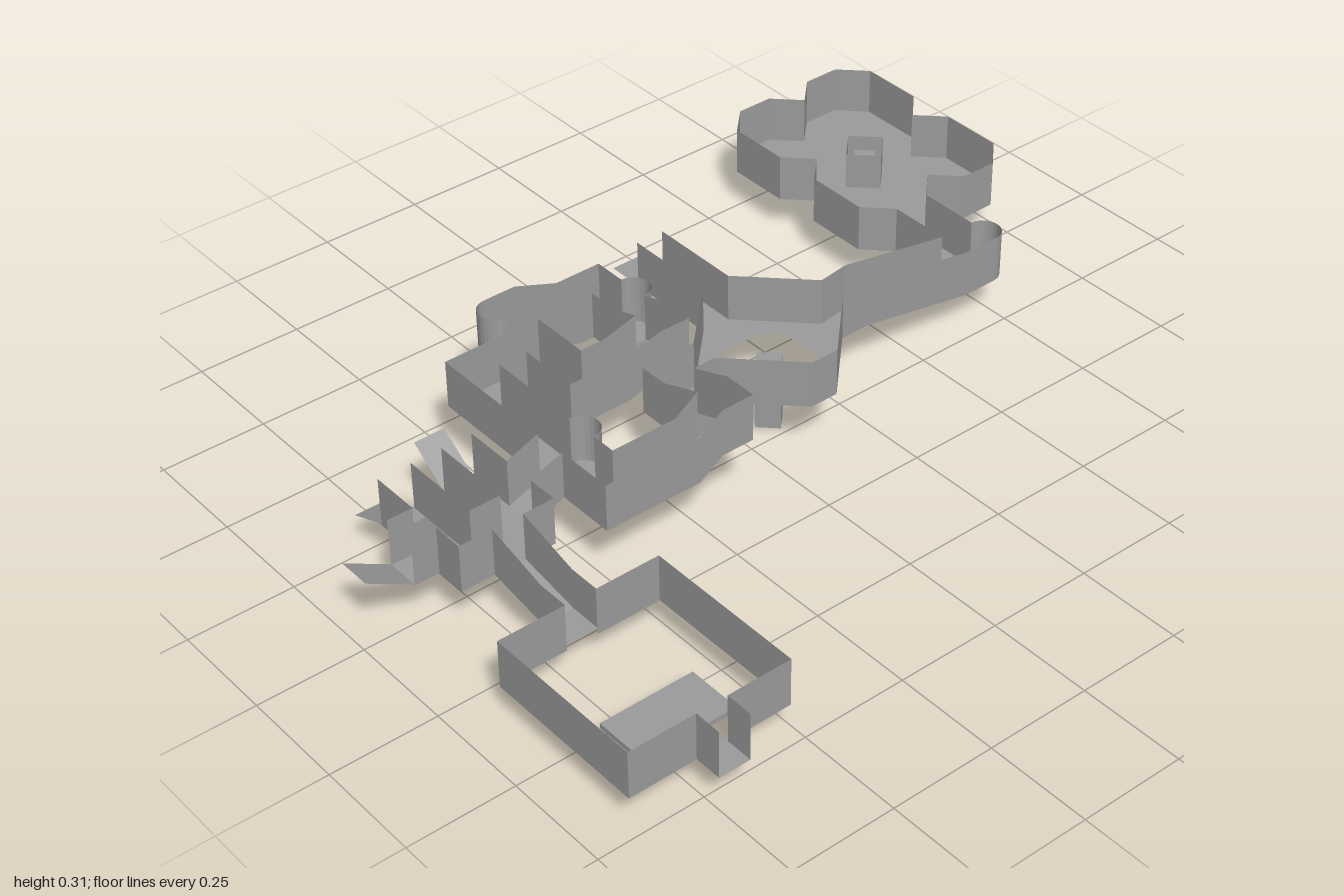
import * as THREE from 'three';

const H = 0.115; // usual wall height
const mat = new THREE.MeshStandardMaterial({ color: 0x9c9c9c, side: THREE.DoubleSide, flatShading: true });

export function createModel() {
  const model = new THREE.Group();
  const add = (name, geo) => {
    const mesh = new THREE.Mesh(geo, mat);
    mesh.name = name;
    model.add(mesh);
    return mesh;
  };

  // Upright strip along [x, z, floorY, height]; missing values repeat the previous ones
  const wall = (name, pts) => {
    const pos = [], idx = [];
    let y = 0, h = H;
    pts.forEach((p, i) => {
      y = p[2] ?? y;
      h = p[3] ?? h;
      pos.push(p[0], y, p[1], p[0], y + h, p[1]);
      if (i) {
        const b = 2 * i - 2;
        idx.push(b, b + 2, b + 1, b + 1, b + 2, b + 3);
      }
    });
    const g = new THREE.BufferGeometry();
    g.setAttribute('position', new THREE.Float32BufferAttribute(pos, 3));
    g.setIndex(idx);
    const flat = g.toNonIndexed();
    flat.computeVertexNormals();
    add(name, flat);
  };

  // Rectangular floor; it slopes from ya to yb along the chosen axis
  const floor = (name, x0, x1, z0, z1, ya, yb = ya, axis = 'x') => {
    const g = new THREE.PlaneGeometry(x1 - x0, z1 - z0).rotateX(-Math.PI / 2);
    g.translate((x0 + x1) / 2, 0, (z0 + z1) / 2);
    const p = g.attributes.position;
    for (let i = 0; i < p.count; i++) {
      const t = axis === 'x' ? (p.getX(i) - x0) / (x1 - x0) : (p.getZ(i) - z0) / (z1 - z0);
      p.setY(i, ya + (yb - ya) * t);
    }
    g.computeVertexNormals();
    add(name, g);
  };

  // Flat floor from an outline with an optional hole
  const polyFloor = (name, pts, y, hole) => {
    const v = (a) => a.map((p) => new THREE.Vector2(p[0], -p[1]));
    const s = new THREE.Shape(v(pts));
    if (hole) s.holes.push(new THREE.Path(v(hole)));
    add(name, new THREE.ShapeGeometry(s).rotateX(-Math.PI / 2).translate(0, y, 0));
  };

  // Half circle of radius 0.04 from angle a to b
  const arc = (cx, cz, a, b) => Array.from({ length: 13 }, (_, i) => {
    const t = a + ((b - a) * i) / 12;
    return [cx + 0.04 * Math.cos(t), cz + 0.04 * Math.sin(t)];
  });
  const diamond = (x, z, r) => [[x + r, z], [x, z + r], [x - r, z], [x, z - r]];
  const octagon = (x, z, r, f) => [[f, -r], [r, -f], [r, f], [f, r], [-f, r], [-r, f], [-r, -f], [-f, -r]]
    .map(([a, b]) => [x + a, z + b]);
  const PI = Math.PI;

  // Clover room
  const cx = -0.525, cz = -0.79;
  const clover = [
    [0.275, 0.15], [0.215, 0.21], [0.06, 0.21], [0, 0.15], [-0.06, 0.21], [-0.215, 0.21],
    [-0.275, 0.15], [-0.275, 0.06], [-0.215, 0], [-0.275, -0.06], [-0.275, -0.15], [-0.215, -0.21],
    [-0.06, -0.21], [0, -0.15], [0.06, -0.21], [0.215, -0.21], [0.275, -0.15], [0.275, -0.06],
    [0.215, 0], [0.275, 0.06],
  ].map(([x, z]) => [cx + x, cz + z, 0.103]);
  const well = diamond(cx, cz, 0.058);
  wall('cloverRoomWall', clover);
  polyFloor('cloverRoomFloor', clover, 0.103, well);

  // Walled well in the clover room, bridged by a narrow slab
  wall('wellWall', [...well, well[0]].map(([x, z]) => [x, z, 0.103, 0.09]));
  const slab = add('wellSlab', new THREE.BoxGeometry(0.082, 0.01, 0.05));
  slab.position.set(cx, 0.15, cz);
  slab.rotation.y = -PI / 4;

  // Octagon room with its pillar
  const ox = -0.055, oz = -0.095;
  polyFloor('octagonFloor', octagon(ox, oz, 0.178, 0.035), 0.155, octagon(ox, oz, 0.093, 0.052));
  const pillar = add('octagonPillar', new THREE.BoxGeometry(0.056, 0.16, 0.056));
  pillar.position.set(ox, 0.08, oz);
  pillar.rotation.y = PI / 4;

  // Outer wall from the clover room round to the east room
  wall('eastWall', [
    [-0.25, -0.73, 0.103], [-0.1, -0.73], ...arc(-0.06, -0.73, -PI, 0), [-0.02, -0.64],
    [-0.02, -0.35, 0.155], [-0.02, -0.273], [0.123, -0.13], [0.123, -0.06], [-0.02, 0.083],
    [-0.02, 0.14], [0.09, 0.14, 0.195], [0.17, 0.14], [0.17, 0.22], [0.17, 0.28, 0.155],
    [0.17, 0.52], [0.03, 0.52], [0.03, 0.6, 0.125], [0.105, 0.6], [0.105, 0.675],
    [0.26, 0.675, 0.098, 0.1], [0.335, 0.675],
  ]);
  // East room walls with an open nook at the far end
  wall('eastRoomNorthWall', [[0.335, 0.675, 0.082], [0.335, 0.52], [0.73, 0.52], [0.73, 0.675], [0.795, 0.675]]);
  wall('eastRoomSouthWall', [[0.795, 0.75, 0.082], [0.73, 0.75], [0.73, 0.91], [0.335, 0.91], [0.335, 0.75]]);
  wall('southExitWall', [
    [0.335, 0.75, 0.098, 0.1], [0.26, 0.75], [0.105, 0.75, 0.125, H], [0.105, 0.83], [0.03, 0.83], [0.03, 0.89],
  ]);

  // Inner wall from the clover room to the west stub
  wall('westWall', [
    [-0.25, -0.64, 0.103], [-0.1, -0.64], [-0.1, -0.35, 0.155], [-0.09, -0.273],
    [-0.233, -0.13], [-0.46, -0.13],
  ]);
  // Wall from the stub through the winding passage to the cross hall
  wall('windingWall', [
    [-0.46, -0.06, 0.155], [-0.233, -0.06], [-0.09, 0.083], [-0.09, 0.22], [-0.02, 0.22],
    [0.09, 0.22, 0.195], [0.09, 0.28, 0.155], [0.09, 0.44], ...arc(-0.01, 0.44, 0, -PI),
    [-0.29, 0.44], [-0.29, 0.37], [-0.14, 0.37], [-0.14, 0.22], [-0.14, 0.135, 0.178],
    [-0.14, 0.055], [-0.22, 0.055], [-0.29, 0.055, 0.155], ...arc(-0.33, 0.055, 0, -PI),
    [-0.45, 0.055], [-0.45, 0.17], [-0.45, 0.28, 0.195], ...arc(-0.41, 0.36, PI, 0),
    [-0.37, 0.28], [-0.37, 0.17, 0.155], [-0.37, 0.135], [-0.29, 0.135], [-0.22, 0.135, 0.178],
    [-0.22, 0.22, 0.155], [-0.22, 0.28], [-0.37, 0.28], [-0.37, 0.52], [-0.05, 0.52],
    [-0.05, 0.6, 0.125], [-0.17, 0.6],
  ]);
  wall('crossInnerWall', [[-0.17, 0.675, 0.125], [0.03, 0.675], [0.03, 0.75], [-0.17, 0.75]]);
  wall('crossOuterWall', [[-0.17, 0.83, 0.125], [-0.05, 0.83], [-0.05, 0.89]]);

  // North passage floors
  floor('cloverPassage', -0.25, -0.02, -0.73, -0.64, 0.103);
  floor('northRamp', -0.1, -0.02, -0.64, -0.35, 0.103, 0.155, 'z');
  floor('northLanding', -0.1, -0.02, -0.35, -0.27, 0.155);
  floor('westStub', -0.55, -0.233, -0.13, -0.06, 0.155);

  // Winding passage floors
  floor('octagonExit', -0.09, -0.02, 0.08, 0.22, 0.155);
  floor('cornerRampUp', -0.02, 0.09, 0.14, 0.22, 0.155, 0.195);
  floor('cornerLanding', 0.09, 0.17, 0.14, 0.22, 0.195);
  floor('cornerRampDown', 0.09, 0.17, 0.22, 0.28, 0.195, 0.155, 'z');
  floor('eastPassage', 0.09, 0.17, 0.28, 0.44, 0.155);
  floor('southPassage', -0.37, 0.17, 0.44, 0.52, 0.155);
  floor('westPassage', -0.37, -0.29, 0.37, 0.44, 0.155);
  floor('middlePassage', -0.37, -0.14, 0.28, 0.37, 0.155);
  floor('innerPassage', -0.22, -0.14, 0.22, 0.28, 0.155);
  floor('innerRamp', -0.22, -0.14, 0.135, 0.22, 0.178, 0.155, 'z');
  floor('innerLanding', -0.22, -0.14, 0.055, 0.135, 0.178);
  floor('returnRamp', -0.29, -0.22, 0.055, 0.135, 0.155, 0.178);
  floor('returnPassage', -0.45, -0.29, 0.055, 0.135, 0.155);
  floor('endPassage', -0.45, -0.37, 0.135, 0.17, 0.155);
  floor('endRamp', -0.45, -0.37, 0.17, 0.28, 0.155, 0.195, 'z');
  floor('endLanding', -0.45, -0.37, 0.28, 0.36, 0.195);

  // Half-round alcove floors
  polyFloor('northAlcove', arc(-0.06, -0.73, -PI, 0), 0.103);
  polyFloor('southAlcove', arc(-0.01, 0.44, -PI, 0), 0.155);
  polyFloor('returnAlcove', arc(-0.33, 0.055, -PI, 0), 0.155);
  polyFloor('endAlcove', arc(-0.41, 0.36, 0, PI), 0.195);

  // Cross hall, its tilted flaps and its pit
  floor('crossRamp', -0.05, 0.03, 0.52, 0.6, 0.155, 0.125, 'z');
  floor('crossNorth', -0.17, 0.105, 0.6, 0.675, 0.125);
  floor('crossEast', 0.03, 0.105, 0.675, 0.75, 0.125);
  floor('crossSouth', -0.05, 0.105, 0.75, 0.83, 0.125);
  floor('crossSouthEnd', -0.17, -0.13, 0.75, 0.83, 0.125);
  floor('raisedFlap', -0.27, -0.17, 0.6, 0.675, 0.195, 0.125);
  floor('loweredFlap', -0.27, -0.17, 0.75, 0.83, 0.085, 0.125);
  floor('southExit', -0.05, 0.03, 0.83, 0.89, 0.125);
  floor('southFlap', -0.05, 0.03, 0.89, 1.0, 0.128, 0.19, 'z');
  floor('pitFloor', -0.13, -0.05, 0.75, 0.83, 0.046);
  wall('pitWall', [[-0.13, 0.675, 0.046, 0.079], [-0.13, 0.83], [-0.05, 0.83], [-0.05, 0.675]]);

  // East corridor and room floors
  floor('eastRamp', 0.105, 0.26, 0.675, 0.75, 0.125, 0.098);
  floor('eastLanding', 0.26, 0.335, 0.675, 0.75, 0.098);
  floor('nookFloor', 0.67, 0.795, 0.675, 0.75, 0.082);
  add('eastRoomPlatform', new THREE.BoxGeometry(0.13, 0.012, 0.225)).position.set(0.603, 0.076, 0.715);

  return model;
}
